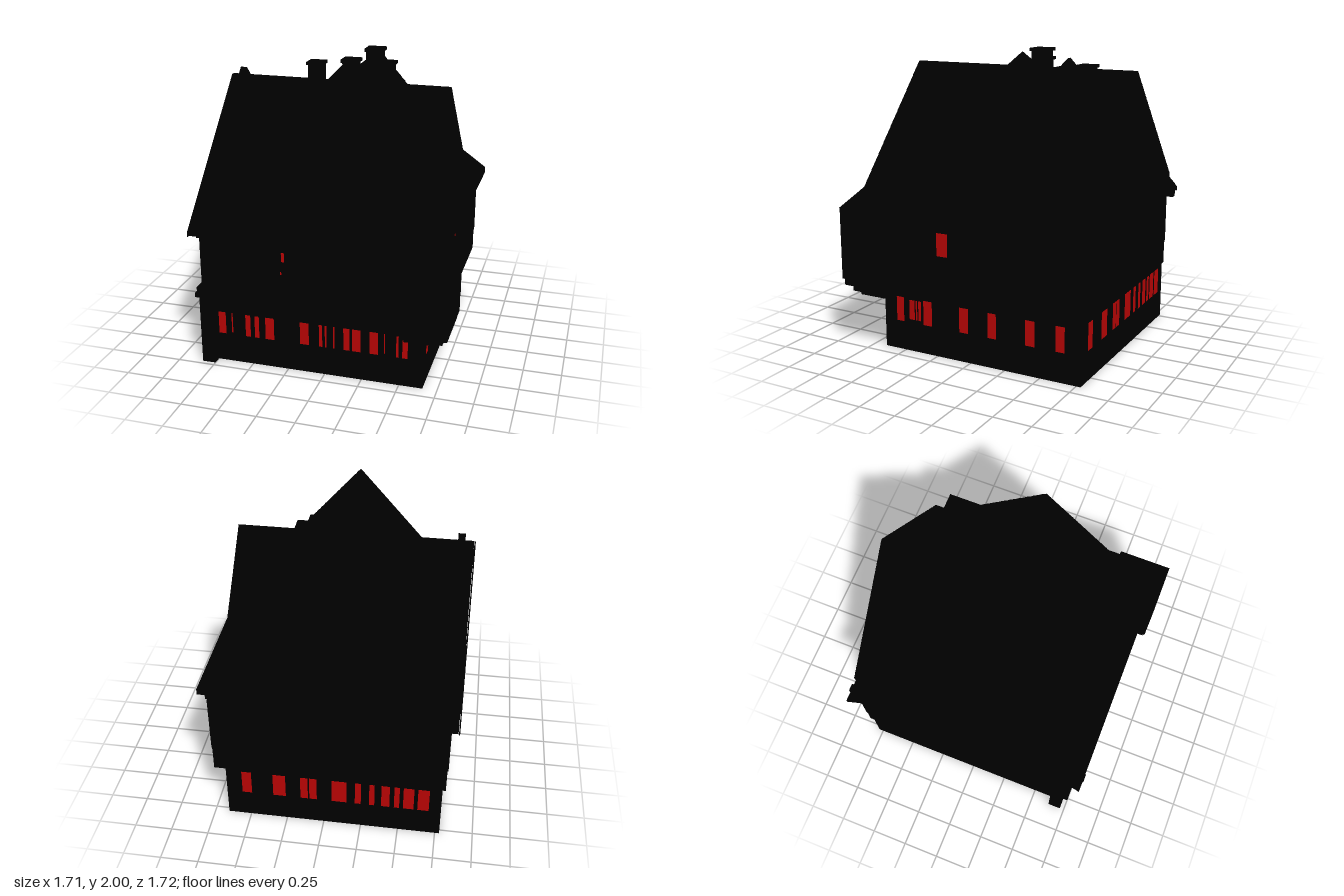
import * as THREE from 'three';

const CX = -0.03, CZ = -0.02, PITCH = 1.1;

export function createModel() {
  const house = new THREE.Group();
  house.name = 'timberHouse';
  const dark = new THREE.MeshStandardMaterial({ color: 0x000000 });
  dark.name = 'soot black';
  const red = new THREE.MeshStandardMaterial({ color: 0xb80404 });
  red.name = 'window red';

  const add = (geo, name, parent = house, mat = dark) => {
    const mesh = new THREE.Mesh(geo, mat);
    mesh.name = name;
    parent.add(mesh);
    return mesh;
  };
  // Box given by its limits on each axis
  const block = (name, x0, x1, y0, y1, z0, z1, parent = house, mat = dark) => {
    const m = add(new THREE.BoxGeometry(x1 - x0, y1 - y0, z1 - z0), name, parent, mat);
    m.position.set((x0 + x1) / 2, (y0 + y1) / 2, (z0 + z1) / 2);
  };
  // Four-sided pyramid on a rectangular base
  const pyramid = (name, x, z, hx, hz, y0, y1) => {
    const geo = new THREE.ConeGeometry(Math.SQRT2, y1 - y0, 4, 1).rotateY(Math.PI / 4).scale(hx, 1, hz).toNonIndexed();
    geo.computeVertexNormals();
    add(geo, name).position.set(x, (y0 + y1) / 2, z);
  };

  // Hollow ground floor, open underneath
  block('frontWall', -0.78, 0.655, 0, 0.5, 0.63, 0.66);
  block('backWall', -0.78, 0.655, 0, 0.5, -0.78, -0.75);
  block('rightWall', 0.625, 0.655, 0, 0.5, -0.75, 0.63);
  block('leftWall', -0.78, -0.75, 0, 0.5, -0.75, 0.63);
  block('cornerPost', -0.84, -0.75, 0, 0.5, 0.63, 0.72);

  // Upper floor, ledge and beam ends
  block('upperFloor', -0.8, 0.73, 0.4, 0.99, -0.785, 0.74);
  block('frontLedge', -0.853, 0.52, 0.49, 0.52, 0.62, 0.755);
  block('frontSill', -0.84, 0.52, 0.52, 0.56, 0.62, 0.75);
  for (let i = 0; i < 24; i++) {
    const x = -0.74 + i * 0.053;
    block('frontBeamEnd', x, x + 0.025, 0.44, 0.49, 0.72, 0.75);
  }
  for (let i = 0; i < 14; i++) {
    const z = -0.08 + i * 0.05;
    block('leftBeamEnd', -0.82, -0.79, 0.42, 0.45, z, z + 0.02);
  }

  // Cross gables with stepped tile courses
  const prism = (shape, axis, from, to, name) => {
    const geo = new THREE.ExtrudeGeometry(shape, { depth: to - from, bevelEnabled: false });
    const m = add(geo, name);
    if (axis === 'x') {
      m.rotation.y = Math.PI / 2;
      m.position.set(from, 0, CZ);
    } else {
      m.position.set(CX, 0, from);
    }
  };
  const roofShape = (ridge, half, eave, thick, rows, lip) => {
    const right = [];
    for (let i = 1; i <= rows; i++) {
      const x = half * i / rows, y = ridge - (ridge - eave) * i / rows;
      right.push([x, y + lip]);
      if (lip) right.push([x, y]);
    }
    const outer = [...right.map(([x, y]) => [-x, y]).reverse(), [0, ridge], ...right];
    const pts = [...outer, [half, eave - thick], [0, ridge - thick], [-half, eave - thick]];
    return new THREE.Shape(pts.map(([x, y]) => new THREE.Vector2(x, y)));
  };
  const gableShape = (top) => {
    const half = (top - 0.98) / PITCH;
    return new THREE.Shape([[-half, 0.98], [half, 0.98], [0, top]].map(([x, y]) => new THREE.Vector2(x, y)));
  };
  prism(roofShape(1.815, 0.83, 0.965, 0.02, 26, 0.004), 'x', -0.845, 0.655, 'sideRoof');
  prism(roofShape(1.867, 0.69, 1.085, 0.03, 24, 0.004), 'z', -0.835, 0.8, 'frontRoof');
  prism(gableShape(1.79), 'x', -0.8, CX, 'leftGableWall');
  prism(gableShape(1.83), 'z', -0.785, 0.74, 'frontGableWall');
  prism(roofShape(1.862, 0.835, 1.0, 0.06, 1, 0), 'x', -0.79, -0.745, 'raisedVerge');
  prism(roofShape(1.81, 0.83, 0.965, 0.03, 1, 0), 'x', -0.855, -0.848, 'bargeBoard');
  block('vergeFoot', -0.79, -0.745, 0.91, 0.96, -0.855, -0.78);

  // Hipped roof that fills the valleys and closes the right side under the overhang
  pyramid('hippedRoof', CX, CZ, 0.825, 0.763, 1.05, 1.96);
  block('rightEave', 0.6, 0.795, 1.01, 1.05, -0.783, 0.74);
  block('rightWallPlate', 0.6, 0.745, 0.98, 1.01, -0.78, 0.74);

  // Corner bay on stepped corbels
  block('cornerBay', 0.5, 0.847, 0.5, 0.98, 0.5, 0.86);
  block('bayCorbel', 0.51, 0.835, 0.455, 0.5, 0.51, 0.85);
  block('bayCorbel', 0.53, 0.8, 0.41, 0.455, 0.53, 0.81);
  block('bayCorbel', 0.55, 0.765, 0.38, 0.41, 0.55, 0.775);
  pyramid('bayRoof', 0.675, 0.682, 0.177, 0.18, 0.98, 1.175);

  // Chimneys: x, z, half width, foot, top
  [[0.098, -0.23, 0.052, 1.5, 2], [0.192, -0.168, 0.05, 1.5, 1.925],
    [-0.052, -0.165, 0.05, 1.6, 1.93], [-0.357, -0.35, 0.05, 1.3, 1.86]].forEach(([x, z, h, y0, y1]) => {
    block('chimney', x - h, x + h, y0, y1, z - h, z + h);
    block('chimneyCap', x - h - 0.01, x + h + 0.01, y1 - 0.02, y1, z - h - 0.01, z + h + 0.01);
  });

  // Each side is dressed in its own frame, with u running to the viewer's right
  const side = (name, angle) => {
    const g = new THREE.Group();
    g.name = name;
    g.rotation.y = angle;
    house.add(g);
    return g;
  };
  const beam = (g, u0, v0, u1, v1, wall, w = 0.022) => {
    const m = add(new THREE.BoxGeometry(Math.hypot(u1 - u0, v1 - v0), w, 0.012), 'timber', g);
    m.position.set((u0 + u1) / 2, (v0 + v1) / 2, wall);
    m.rotation.z = Math.atan2(v1 - v0, u1 - u0);
  };
  const pane = (g, u0, u1, v0, v1, wall) => block('window', u0, u1, v0, v1, wall - 0.003, wall + 0.002, g, red);

  const front = side('frontDetails', 0), right = side('rightDetails', Math.PI / 2);
  const back = side('backDetails', Math.PI), left = side('leftDetails', -Math.PI / 2);

  // Timber frame of an upper wall
  const frameWall = (g, u0, u1, wall) => {
    for (const v of [0.57, 0.7, 0.9, 0.97]) beam(g, u0, v, u1, v, wall);
    const n = 10, s = (u1 - u0) / n;
    for (let i = 0; i <= n; i++) {
      const u = u0 + i * s;
      beam(g, u, 0.57, u, 0.97, wall);
      if (i % 3 === 0 && i < n) {
        beam(g, u, 0.57, u + s, 0.7, wall);
        beam(g, u + s, 0.57, u, 0.7, wall);
      }
    }
  };
  // Timber frame of a gable
  const frameGable = (g, c, top, wall) => {
    const reach = (v) => (top - v) / PITCH - 0.02;
    for (const v of [1.14, 1.28, 1.42, 1.56]) beam(g, c - reach(v), v, c + reach(v), v, wall);
    for (let i = -4; i <= 4; i++) {
      const u = i * 0.11;
      beam(g, c + u, 1.0, c + u, top - PITCH * Math.abs(u) - 0.03, wall);
    }
    for (const s of [-1, 1]) {
      beam(g, c + s * 0.5, 1.12, c + s * 0.22, 1.5, wall);
      beam(g, c + s * 0.22, 1.14, c + s * 0.44, 1.28, wall);
    }
  };
  frameWall(front, -0.79, 0.5, 0.74);
  frameWall(right, -0.5, 0.77, 0.73);
  frameWall(back, -0.72, 0.79, 0.785);
  frameWall(left, -0.77, 0.73, 0.8);
  frameGable(front, CX, 1.83, 0.74);
  frameGable(back, -CX, 1.83, 0.785);
  frameGable(left, CZ, 1.79, 0.8);

  // Frames on the two outer faces of the bay
  for (const [g, u0, u1, wall] of [[front, 0.51, 0.835, 0.856], [right, -0.85, -0.51, 0.843]]) {
    for (const v of [0.52, 0.69, 0.9]) beam(g, u0, v, u1, v, wall, 0.015);
    for (let i = 0; i <= 2; i++) {
      const u = u0 + (u1 - u0) * i / 2;
      beam(g, u, 0.51, u, 0.97, wall, 0.015);
    }
  }

  // Ground floor windows
  [[-0.735, -0.685], [-0.545, -0.51], [-0.48, -0.45], [-0.405, -0.345], [-0.165, -0.105],
    [-0.035, -0.013], [0.005, 0.017], [0.06, 0.07], [0.13, 0.17], [0.19, 0.245], [0.305, 0.36],
    [0.48, 0.495], [0.52, 0.555]].forEach(([a, b]) => pane(front, a, b, 0.2, 0.38, 0.66));
  [[-0.643, -0.635], [0.4, 0.406]].forEach(([a, b]) => pane(front, a, b, 0.215, 0.365, 0.66));
  [[-0.565, -0.51], [-0.355, -0.29], [-0.08, -0.015], [0.13, 0.19], [0.4, 0.465], [0.61, 0.67]]
    .forEach(([a, b]) => pane(right, a, b, 0.2, 0.38, 0.655));
  [[-0.465, -0.425], [-0.415, -0.405], [-0.395, -0.375]].forEach(([a, b]) => pane(right, a, b, 0.222, 0.357, 0.655));
  [[-0.55, -0.485], [-0.34, -0.255], [-0.155, -0.105], [-0.095, -0.045], [0.055, 0.155], [0.21, 0.25],
    [0.305, 0.34], [0.385, 0.44], [0.47, 0.505], [0.53, 0.6], [0.625, 0.7]]
    .forEach(([a, b]) => pane(back, a, b, 0.2, 0.38, 0.78));

  // Lit upper windows
  pane(right, -0.19, -0.112, 0.72, 0.87, 0.738);
  pane(front, -0.25, -0.23, 0.81, 0.87, 0.746);
  pane(front, -0.26, -0.252, 0.72, 0.74, 0.746);

  return house;
}
